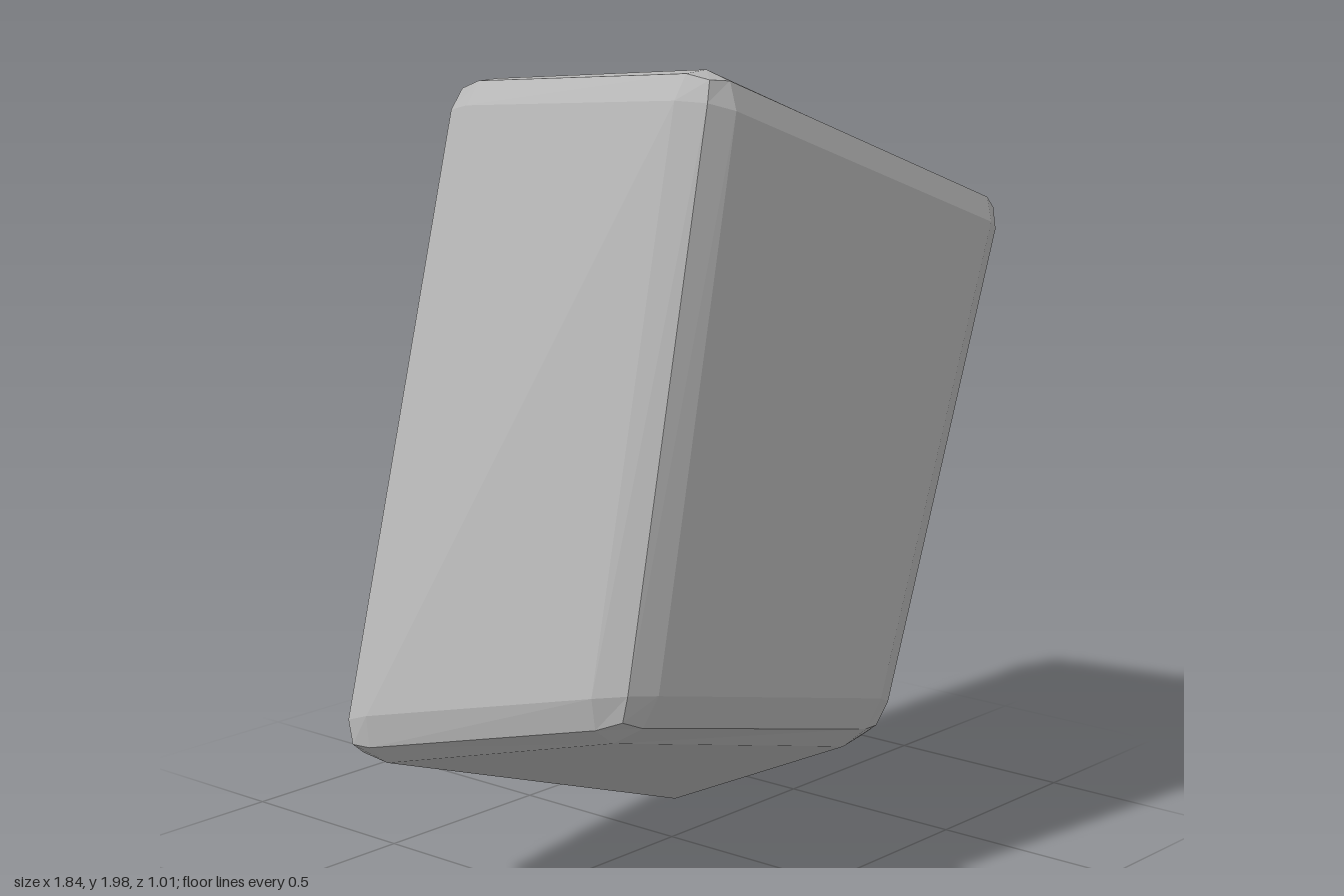
import * as THREE from 'three';

// Corner points of the skewed block, keyed by the sign of x, y, z
const CORNERS = {
  '-++': [-0.27, 1.98, 0.345],
  '+++': [0.91, 1.575, 0.32],
  '-+-': [-0.335, 1.925, -0.38],
  '++-': [0.82, 1.465, -0.48],
  '--+': [-0.72, 0.59, 0.475],
  '+-+': [0.28, 0.34, 0.435],
  '---': [-0.92, 0.45, -0.19],
  '+--': [0.29, 0.02, -0.24],
};
const BEVEL = 0.1;
// Setback from the sharp edge for points on a face, an edge and a corner
const SETBACK = [0, 0, 0.29, 0.42];

const corner = (s) => new THREE.Vector3(...CORNERS[s.map((v) => (v > 0 ? '+' : '-')).join('')]);

function bevelledBlock() {
  // A 3x3 grid per side gives the face, bevel strips and corner patches
  const box = new THREE.BoxGeometry(3, 3, 3, 3, 3, 3);
  const pos = box.attributes.position;
  const info = [];
  for (let i = 0; i < pos.count; i++) {
    const p = [pos.getX(i), pos.getY(i), pos.getZ(i)];
    const signs = p.map(Math.sign);
    const outer = p.map((v) => Math.abs(v) > 1);
    const level = outer.filter(Boolean).length;
    info.push({ signs, outer, level });
    const c = corner(signs);
    const point = c.clone();
    for (let axis = 0; axis < 3; axis++) {
      const other = signs.map((v, k) => (k === axis ? -v : v));
      const dir = corner(other).sub(c).normalize();
      const offset = (outer[axis] ? SETBACK[level] : 1) - SETBACK[3];
      point.addScaledVector(dir, offset * BEVEL);
    }
    pos.setXYZ(i, point.x, point.y, point.z);
  }

  // Choose the fold direction of each large, slightly twisted face
  const index = box.index.array;
  for (let q = 0; q < index.length; q += 6) {
    const [a, b, d, , c] = index.slice(q, q + 6);
    if (![a, b, c, d].every((v) => info[v].level === 1)) continue;
    const fold = info[a].outer[1] ? 1 : -1;
    const parity = info[b].signs.reduce((m, v) => m * v, 1);
    if (parity !== fold) index.set([a, b, c, a, c, d], q);
  }

  const geometry = box.toNonIndexed();
  geometry.computeVertexNormals();
  geometry.center();
  geometry.computeBoundingBox();
  geometry.translate(0, -geometry.boundingBox.min.y, 0);
  return geometry;
}

export function createModel() {
  const group = new THREE.Group();
  group.name = 'rock';
  const stone = new THREE.MeshStandardMaterial({ color: 0xb6b6b6, flatShading: true });
  stone.name = 'grey stone';
  const block = new THREE.Mesh(bevelledBlock(), stone);
  block.name = 'stoneBlock';
  group.add(block);
  return group;
}
